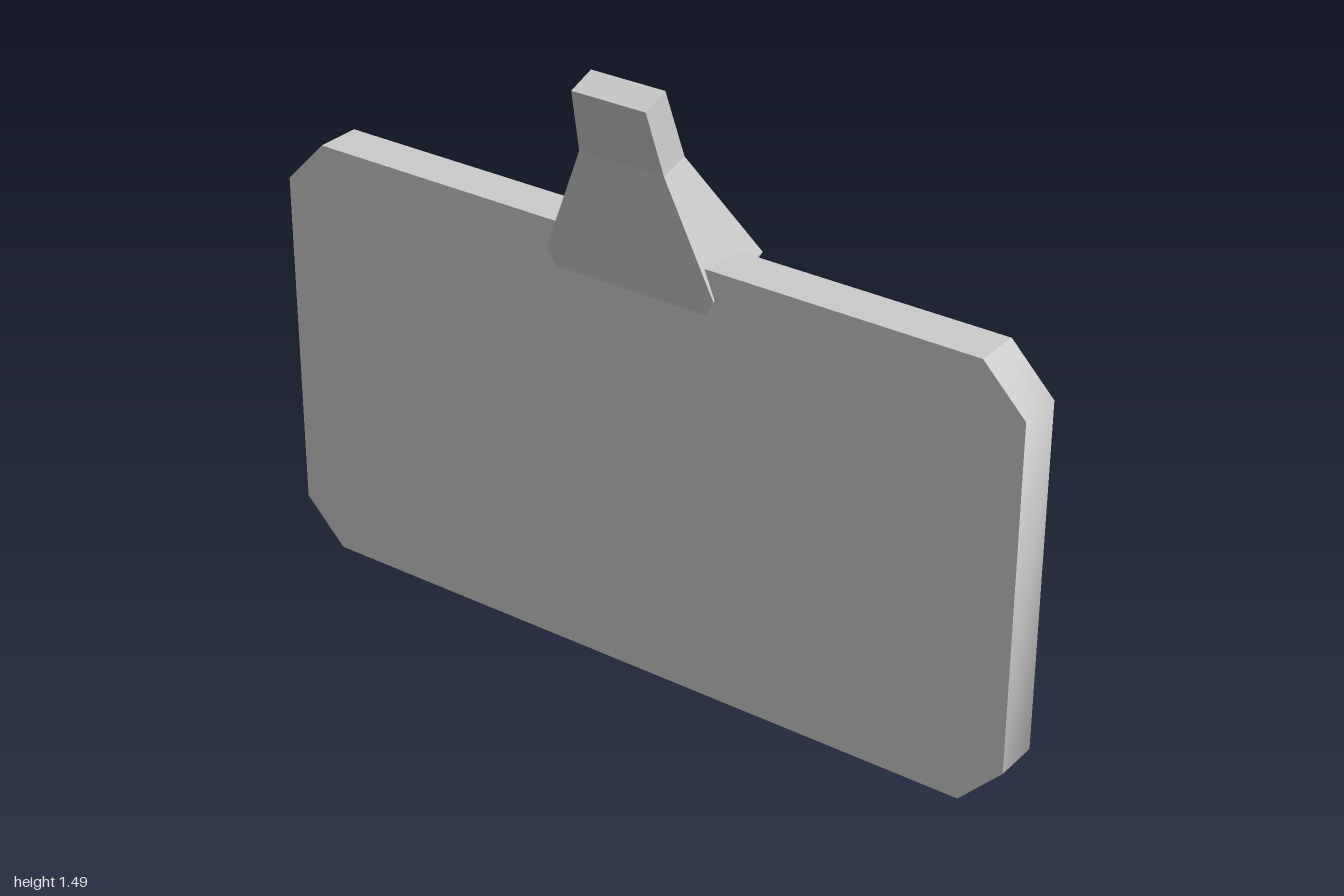
import * as THREE from 'three';
import { toCreasedNormals } from 'three/addons/utils/BufferGeometryUtils.js';

const grey = new THREE.MeshStandardMaterial({ color: 0xcccccc });
const greyFlat = new THREE.MeshStandardMaterial({ color: 0xcccccc, flatShading: true });

// Upright slab with clipped corners; the narrow ends blend softly into the clips
function createPanel() {
  const height = 1.095, cutZ = 0.108, cutY = 0.112, thickness = 0.115;
  const outline = new THREE.Shape([
    [-1 + cutZ, 0], [1 - cutZ, 0], [1, cutY], [1, height - cutY],
    [1 - cutZ, height], [-1 + cutZ, height], [-1, height - cutY], [-1, cutY],
  ].map(([z, y]) => new THREE.Vector2(z, y)));
  const geometry = new THREE.ExtrudeGeometry(outline, { depth: thickness, bevelEnabled: false });
  geometry.rotateY(Math.PI / 2).translate(-0.06, 0, 0);
  const mesh = new THREE.Mesh(toCreasedNormals(geometry, Math.PI / 4), grey);
  mesh.name = 'panel';
  return mesh;
}

// Leaning bracket lofted through four-cornered sections, from the tip down
function createBracket() {
  // back x, back y, front x, front y, half width
  const sections = [
    [-0.135, 1.46, -0.065, 1.485, 0.098],
    [-0.09, 1.3, -0.015, 1.32, 0.113],
    [-0.065, 1.025, 0.122, 1.072, 0.227],
    [-0.06, 0.985, 0.13, 1.035, 0.204],
  ];
  const positions = [];
  for (const [bx, by, fx, fy, w] of sections) {
    positions.push(bx, by, w, fx, fy, w, fx, fy, -w, bx, by, -w);
  }
  const index = [0, 1, 2, 0, 2, 3];
  for (let i = 0; i < sections.length - 1; i++) {
    for (let j = 0; j < 4; j++) {
      const a = i * 4 + j, b = i * 4 + (j + 1) % 4;
      index.push(a, a + 4, b + 4, a, b + 4, b);
    }
  }
  const last = (sections.length - 1) * 4;
  index.push(last, last + 2, last + 1, last, last + 3, last + 2);

  const indexed = new THREE.BufferGeometry();
  indexed.setAttribute('position', new THREE.Float32BufferAttribute(positions, 3));
  indexed.setIndex(index);
  const geometry = indexed.toNonIndexed();
  geometry.computeVertexNormals();
  const mesh = new THREE.Mesh(geometry, greyFlat);
  mesh.name = 'bracket';
  return mesh;
}

export function createModel() {
  const model = new THREE.Group();
  model.name = 'panelWithBracket';
  model.add(createPanel(), createBracket());
  return model;
}
